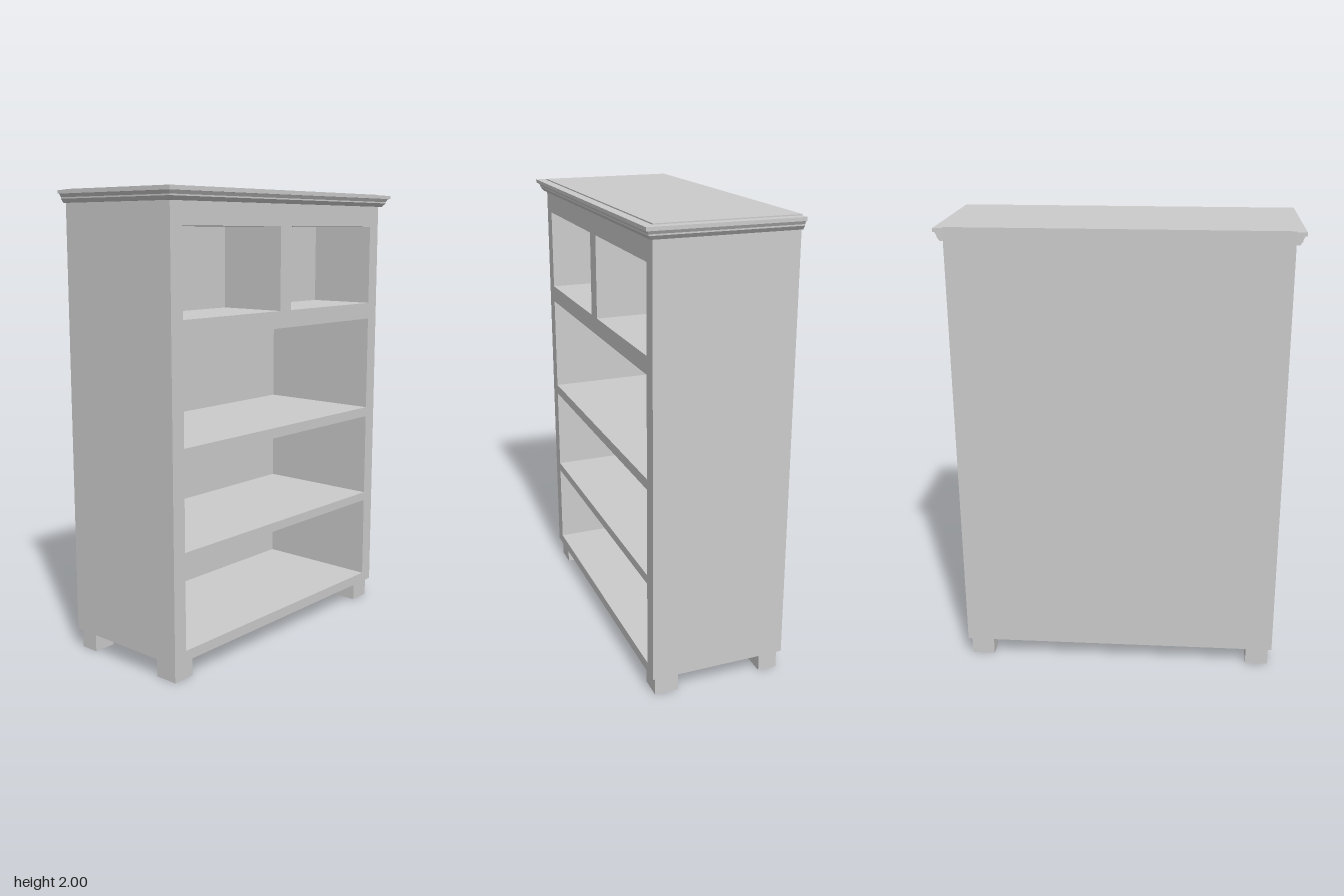
import * as THREE from 'three';

const BACK = -0.325, FRONT = 0.28, HALF = 0.705, BASE = 0.085, TOP = 2;
const material = new THREE.MeshStandardMaterial({ color: 0xcccccc, flatShading: true });

// Openings as [z min, z max, y min, y max]
const smallOpenings = [[-0.64, -0.037, 1.49, 1.85], [0.037, 0.64, 1.49, 1.85]];
const wideOpenings = [[-0.64, 0.64, 0.98, 1.415], [-0.64, 0.64, 0.55, 0.935], [-0.64, 0.64, 0.13, 0.51]];

function add(group, name, geometry) {
  const mesh = new THREE.Mesh(geometry, material);
  mesh.name = name;
  group.add(mesh);
}

// Box given by its lower and upper limits
function block(x0, x1, y0, y1, z0, z1) {
  return new THREE.BoxGeometry(x1 - x0, y1 - y0, z1 - z0)
    .translate((x0 + x1) / 2, (y0 + y1) / 2, (z0 + z1) / 2);
}

function rectangle(Type, a, b, c, d) {
  return new Type([[a, c], [b, c], [b, d], [a, d]].map(p => new THREE.Vector2(...p)));
}

// Moulding profile swept with mitred corners round both sides and the front
function corniceGeometry() {
  const profile = [[0, 1.944], [0.013, 1.944], [0.025, 1.96], [0.025, 1.966],
    [0.033, 1.98], [0.041, 1.98], [0.041, 1.995], [0, 1.995]];
  const rings = [[0, 1], [1, 1], [1, -1], [0, -1]].map(([front, side]) =>
    profile.map(([o, y]) => [front ? FRONT + o : BACK, y, side * (HALF + o)]));
  const positions = [];
  const triangle = (a, b, c) => positions.push(...a, ...b, ...c);
  for (let i = 0; i < 3; i++) {
    for (let j = 0; j < profile.length - 1; j++) {
      const a = rings[i][j], b = rings[i + 1][j], c = rings[i + 1][j + 1], d = rings[i][j + 1];
      triangle(a, b, c);
      triangle(a, c, d);
    }
  }
  // End caps, flush with the back
  const outline = profile.map(p => new THREE.Vector2(...p));
  for (const [a, b, c] of THREE.ShapeUtils.triangulateShape(outline, [])) {
    triangle(rings[0][a], rings[0][b], rings[0][c]);
    triangle(rings[3][a], rings[3][c], rings[3][b]);
  }
  const geometry = new THREE.BufferGeometry();
  geometry.setAttribute('position', new THREE.Float32BufferAttribute(positions, 3));
  geometry.computeVertexNormals();
  return geometry;
}

export function createModel() {
  const model = new THREE.Group();
  model.name = 'openCabinet';
  const panel = 0.02;

  // Carcass with shelves and dividers, open towards +x
  const shape = rectangle(THREE.Shape, -HALF, HALF, BASE, TOP);
  for (const opening of [...smallOpenings, ...wideOpenings]) {
    shape.holes.push(rectangle(THREE.Path, ...opening));
  }
  const carcass = new THREE.ExtrudeGeometry(shape, { depth: FRONT - BACK - panel, bevelEnabled: false });
  add(model, 'carcass', carcass.rotateY(Math.PI / 2).translate(BACK + panel, 0, 0));
  add(model, 'backPanel', block(BACK, BACK + panel, BASE, TOP, -HALF, HALF));

  // The upper compartments are shallower
  for (const [z0, z1, y0, y1] of smallOpenings) {
    add(model, 'upperCompartmentBack', block(-0.06, -0.04, y0, y1, z0, z1));
  }

  add(model, 'cornice', corniceGeometry());

  // Feet
  for (const side of [-1, 1]) {
    const z0 = side > 0 ? 0.588 : -0.69, z1 = side > 0 ? 0.69 : -0.588;
    add(model, 'frontFoot', block(0.16, 0.265, 0, BASE, z0, z1));
    add(model, 'backFoot', block(-0.31, -0.225, 0, BASE, z0, z1));
  }
  return model;
}
